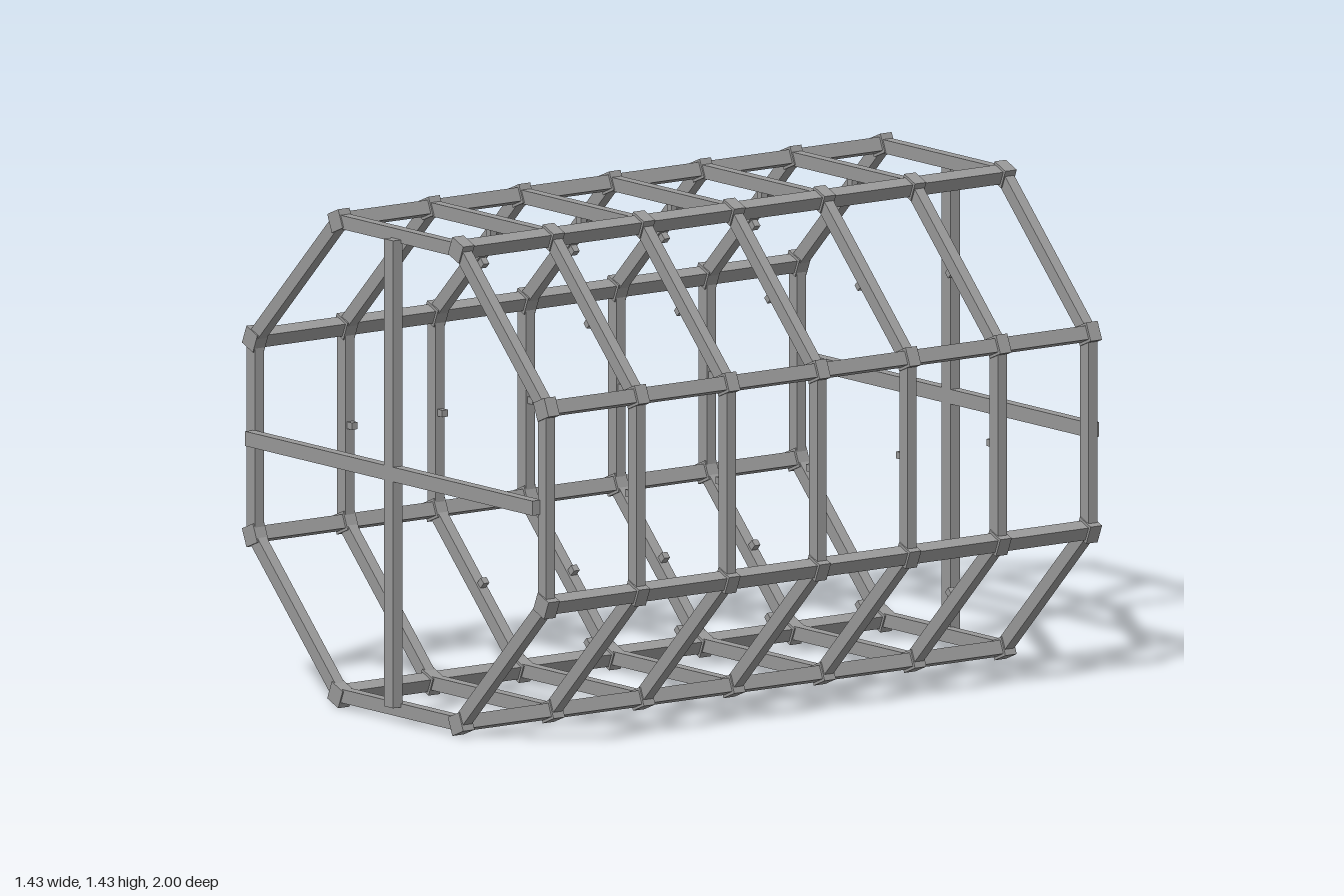
import * as THREE from 'three';

export function createModel() {
  const model = new THREE.Group();
  model.name = 'octagonalFrame';
  const steel = new THREE.MeshStandardMaterial({ color: 0x999999 });
  steel.name = 'grey steel';

  const R = 0.734, CY = 0.713, SIDES = 8, RINGS = 7, END_Z = 0.957;
  const step = (Math.PI * 2) / SIDES;
  const apothem = R * Math.cos(step / 2);
  const sideLength = 2 * R * Math.sin(step / 2);

  // Box at a polar position around the tunnel axis, its local x pointing outward
  function polarBox(parent, name, size, radius, angle, z) {
    const mesh = new THREE.Mesh(new THREE.BoxGeometry(...size), steel);
    mesh.name = name;
    mesh.position.set(Math.cos(angle) * radius, Math.sin(angle) * radius, z);
    mesh.rotation.z = angle;
    parent.add(mesh);
  }

  // Octagonal rings: struts, corner joints and small inner pegs
  for (let r = 0; r < RINGS; r++) {
    const ring = new THREE.Group();
    ring.name = 'ring' + (r + 1);
    ring.position.set(0, CY, -END_Z + (2 * END_Z * r) / (RINGS - 1));
    const isEnd = r === 0 || r === RINGS - 1;
    for (let i = 0; i < SIDES; i++) {
      const a = i * step;
      polarBox(ring, 'strut', [0.039, sideLength - 0.03, 0.032], apothem, a, 0);
      polarBox(ring, 'cornerJoint', [0.055, 0.055, 0.04], R, a + step / 2, 0);
      if (!isEnd) polarBox(ring, 'peg', [0.024, 0.02, 0.02], apothem - 0.03, a, 0);
    }
    model.add(ring);
  }

  // Long beams through the corner joints
  const beams = new THREE.Group();
  beams.name = 'longBeams';
  beams.position.y = CY;
  for (let i = 0; i < SIDES; i++) {
    polarBox(beams, 'longBeam', [0.04, 0.04, 2 * END_Z + 0.03], R, (i + 0.5) * step, 0);
  }
  model.add(beams);

  // Cross braces over both ends
  for (const side of [1, -1]) {
    const cross = new THREE.Group();
    cross.name = side > 0 ? 'frontCross' : 'backCross';
    cross.position.set(0, CY, side * 0.984);
    polarBox(cross, 'crossBarHorizontal', [1.338, 0.042, 0.032], 0, 0, 0);
    polarBox(cross, 'crossBarVertical', [1.338, 0.042, 0.032], 0, Math.PI / 2, 0);
    model.add(cross);
  }
  return model;
}
